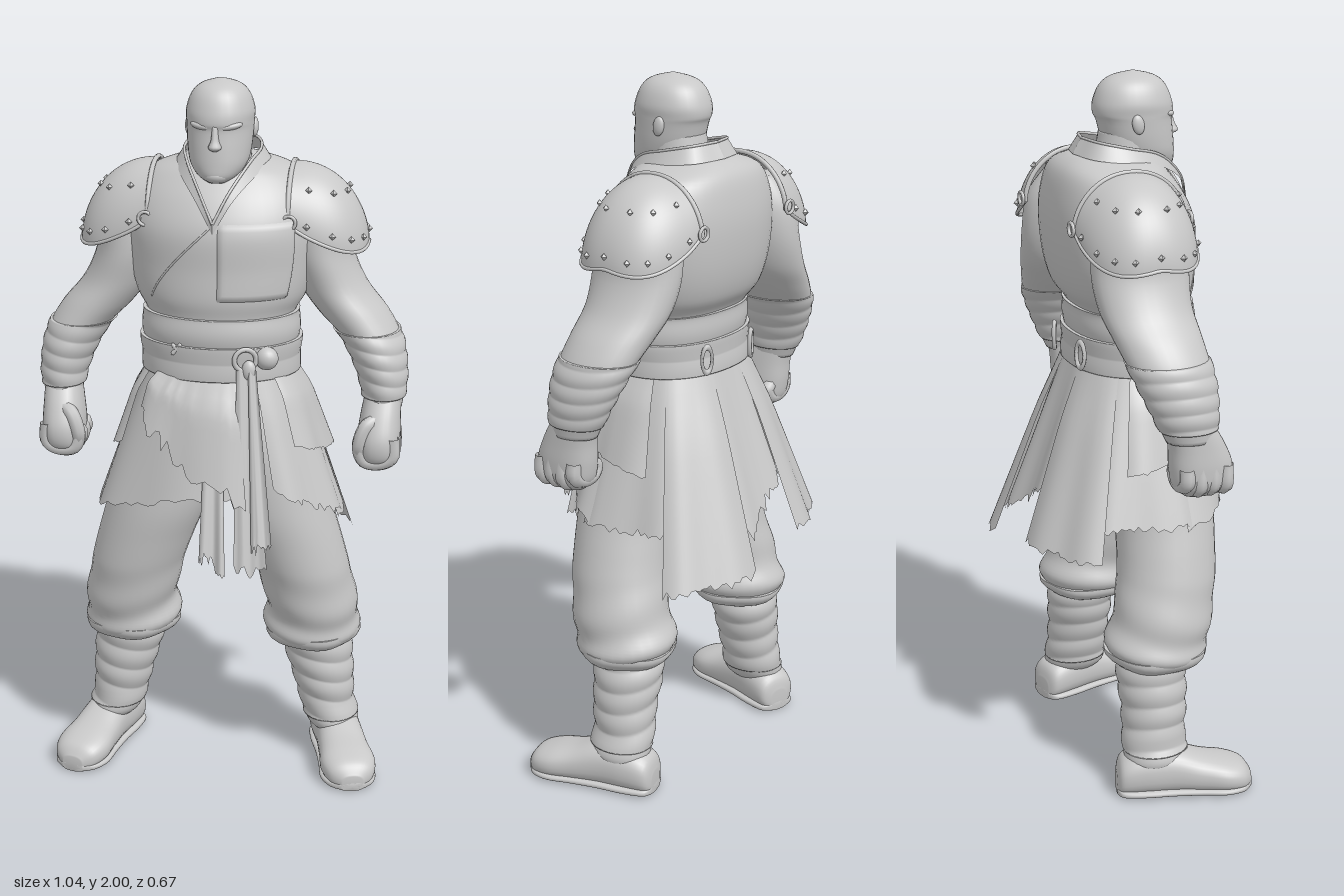
import * as THREE from 'three';

const grey = new THREE.MeshStandardMaterial({ color: 0xc8c8c8, side: THREE.DoubleSide });
grey.name = 'grey';
const { sin, cos, PI, abs, sign, min, max, pow } = Math;
const rad = d => d * PI / 180;
const V = (x, y, z) => new THREE.Vector3(x, y, z);
const spow = (a, e) => sign(a) * pow(abs(a), e);

let seed = 7;
const rnd = () => (seed = (seed * 16807) % 2147483647) / 2147483647;

// spline sample of section rows [x, y, z, rx, rz]
function at(rows, t) {
  const n = rows.length - 1, f = min(max(t, 0), 1) * n, i = min(Math.floor(f), n - 1), k = f - i;
  const r = j => rows[min(max(j, 0), n)];
  return rows[0].map((_, c) => {
    const [a, b, d, e] = [r(i - 1)[c], r(i)[c], r(i + 1)[c], r(i + 2)[c]];
    return b + 0.5 * k * (d - a + k * (2 * a - 5 * b + 4 * d - e + k * (3 * (b - d) + e - a)));
  });
}
function atY(rows, y) {
  let a = 0, b = 1;
  for (let i = 0; i < 24; i++) { const m = (a + b) / 2; if (at(rows, m)[1] < y) a = m; else b = m; }
  return at(rows, a);
}
function finish(pos, idx) {
  const g = new THREE.BufferGeometry();
  g.setAttribute('position', new THREE.Float32BufferAttribute(pos, 3));
  g.setIndex(idx);
  g.computeVertexNormals();
  return g;
}
// closed skin over rings that run upward; e and eBack square off the front and back
function loft(rows, { seg = 32, steps = 40, e = 1, eBack = e, ripple = () => 0 } = {}) {
  const pos = [], idx = [];
  const put = a => pos.push(a[0], a[1], a[2]);
  for (let i = 0; i <= steps; i++) {
    const [x, y, z, rx, rz] = at(rows, i / steps);
    for (let j = 0; j < seg; j++) {
      const a = j / seg * 2 * PI, s = sin(a), c = cos(a), o = ripple(a, i / steps), p = c < 0 ? eBack : e;
      put([x + spow(s, p) * (rx + o), y, z + spow(c, p) * (rz + o)]);
      if (i < steps) {
        const m = i * seg + j, q = i * seg + (j + 1) % seg;
        idx.push(m, q, m + seg, q, q + seg, m + seg);
      }
    }
  }
  const lo = pos.length / 3, top = steps * seg;
  put(rows[0]); put(rows[rows.length - 1]);
  for (let j = 0; j < seg; j++) {
    const k = (j + 1) % seg;
    idx.push(lo, k, j, lo + 1, top + j, top + k);
  }
  return finish(pos, idx);
}
// open sheet from a point rule
function grid(fn, nu, nv) {
  const pos = [], idx = [];
  for (let i = 0; i <= nv; i++) for (let j = 0; j <= nu; j++) {
    pos.push(...fn(j / nu, i / nv));
    if (i < nv && j < nu) {
      const p = i * (nu + 1) + j, q = p + nu + 1;
      idx.push(p, q, p + 1, p + 1, q, q + 1);
    }
  }
  return finish(pos, idx);
}
const curve = pts => new THREE.CatmullRomCurve3(pts.map(p => V(...p)));
const tube = (pts, r, n = 24) => new THREE.TubeGeometry(curve(pts), n, r, 8);
const slice = (rows, y0, y1, off, n = 12) => Array.from({ length: n + 1 }, (_, i) => {
  const r = atY(rows, y0 + (y1 - y0) * i / n);
  return [r[0], r[1], r[2], r[3] + off, r[4] + off];
});
const side = (rows, s) => rows.map(r => [r[0] * s, ...r.slice(1)]);

const TORSO = [[0, 1.04, .04, .19, .15], [0, 1.2, .043, .2, .16], [0, 1.28, .045, .205, .16], [0, 1.36, .043, .205, .162],
  [0, 1.42, .028, .237, .187], [0, 1.5, .016, .257, .197], [0, 1.6, .011, .265, .2], [0, 1.68, -.002, .25, .18],
  [0, 1.745, -.017, .205, .146], [0, 1.778, -.015, .12, .112], [0, 1.79, 0, .08, .08]];
const HEAD = [[0, 1.733, .125, .025, .03], [0, 1.75, .1, .055, .07], [0, 1.78, .083, .077, .088], [0, 1.82, .068, .086, .1],
  [0, 1.87, .058, .09, .105], [0, 1.89, .055, .091, .112], [0, 1.92, .053, .092, .109], [0, 1.96, .053, .078, .092],
  [0, 1.985, .054, .052, .062], [0, 2, .055, .004, .004]];
const NOSE = [[0, 1.82, .163, .006, .008], [0, 1.83, .165, .018, .024], [0, 1.85, .162, .011, .018], [0, 1.885, .158, .008, .01]];
const ARM = [[.455, 1.1, .035, .052, .07], [.452, 1.17, .02, .063, .087], [.435, 1.24, .005, .075, .103], [.408, 1.3, -.01, .086, .112],
  [.36, 1.36, -.022, .098, .12], [.305, 1.43, -.034, .095, .128], [.27, 1.52, -.035, .09, .135], [.26, 1.62, -.033, .09, .125], [.24, 1.7, -.03, .05, .08]];
const HAND = [[.44, .94, .07, .03, .05], [.445, .97, .07, .055, .08], [.447, 1.02, .067, .06, .088], [.45, 1.08, .053, .056, .078], [.455, 1.14, .03, .05, .065]];
const LEG = [[.275, .365, .02, .08, .085], [.267, .385, .022, .115, .122], [.265, .43, .022, .137, .147], [.263, .5, .035, .132, .143],
  [.245, .6, .058, .133, .141], [.215, .7, .07, .138, .14], [.175, .82, .075, .145, .143], [.14, .98, .06, .145, .15], [.1, 1.12, .05, .1, .13]];
const SHIN = [[.338, .075, -.01, .05, .07], [.328, .11, -.003, .076, .094], [.31, .17, -.005, .077, .088], [.298, .25, 0, .086, .09],
  [.28, .35, 0, .097, .096], [.275, .42, .01, .09, .09]];
const BOOT = [[0, -.122, -.035, .03, .03], [0, -.105, -.055, .06, .055], [0, -.04, -.068, .069, .068], [0, .04, -.068, .068, .068],
  [0, .12, -.055, .073, .055], [0, .19, -.047, .08, .047], [0, .24, -.038, .064, .038], [0, .265, -.026, .03, .02]];

export function createModel() {
  const model = new THREE.Group();
  const add = (name, geo, parent = model) => {
    const m = new THREE.Mesh(geo, grey);
    m.name = name;
    parent.add(m);
    return m;
  };
  const blob = (name, p, r) => {
    const m = add(name, new THREE.SphereGeometry(1, 20, 14));
    m.position.set(...p); m.scale.set(...r);
    return m;
  };
  const onTorso = (a, y, off) => {
    const [, , z, rx, rz] = atY(TORSO, y);
    return [sin(a) * (rx + off), y, z + cos(a) * (rz + off)];
  };

  // head and face
  add('neck', loft([[0, 1.6, .01, .09, .08], [0, 1.72, .025, .085, .085], [0, 1.84, .04, .078, .08]]));
  add('head', loft(HEAD, { e: .95 }));
  add('nose', loft(NOSE, { seg: 12, steps: 14 }));
  blob('lips', [0, 1.785, .157], [.03, .01, .013]);
  blob('chin', [0, 1.752, .146], [.034, .02, .026]);
  for (const s of [-1, 1]) {
    blob('brow', [s * .036, 1.884, .142], [.036, .011, .018]).rotation.set(0, s * .35, s * .15);
    blob('ear', [s * .089, 1.868, .035], [.011, .027, .017]).rotation.x = -.2;
  }

  // torso, collar and chest layers
  add('torso', loft(TORSO, { seg: 48, steps: 60, eBack: .82 }));
  for (const s of [-1, 1]) {
    const low = curve(side([[0, 1.605, .212], [.05, 1.69, .185], [.105, 1.75, .105], [.13, 1.772, 0], [.097, 1.782, -.09], [0, 1.785, -.12]], s));
    const high = curve(side([[0, 1.635, .214], [.038, 1.71, .182], [.085, 1.782, .1], [.105, 1.81, 0], [.078, 1.825, -.07], [0, 1.828, -.094]], s));
    add('collar', grid((u, v) => low.getPoint(u).lerp(high.getPoint(u), v).toArray(), 32, 6));
    add('collarEdge', tube(high.getPoints(16).map(p => p.toArray()), .004, 40));
  }
  add('wrapEdge', tube(Array.from({ length: 7 }, (_, i) => onTorso(rad(-48 * i / 6), 1.63 - .21 * i / 6, -.001)), .003));
  add('chestPlate', grid((u, v) => onTorso(rad(2 + 52 * u), 1.635 - .215 * v, -.004 + .012 * min(1, 20 * min(u, v, 1 - u, 1 - v))), 24, 20));

  // belt, sash, ring, knot and loops
  add('sash', loft(slice(TORSO, 1.285, 1.37, .01), { seg: 48, eBack: .9, ripple: (a, t) => .008 * sin(t * PI) }));
  add('belt', loft(slice(TORSO, 1.2, 1.295, .018), { seg: 48, eBack: .9, ripple: (a, t) => .004 * abs(cos(t * PI)) }));
  const ring = add('beltRing', new THREE.TorusGeometry(.03, .007, 8, 28));
  ring.position.set(.09, 1.265, .216); ring.rotation.y = .35;
  blob('knot', [.145, 1.265, .188], [.032, .032, .03]);
  blob('knotEnd', [.1, 1.235, .215], [.02, .03, .016]);
  for (const r of [-.7, .7]) {
    const tie = add('frontToggle', new THREE.CapsuleGeometry(.006, .03, 4, 8));
    tie.position.set(-.1, 1.285, .203); tie.rotation.z = r;
  }
  for (const a of [155, 205]) {
    const loop = add('beltLoop', new THREE.TorusGeometry(.026, .007, 6, 20));
    loop.position.set(sin(rad(a)) * .24, 1.25, -.14); loop.scale.set(.6, 1.4, 1);
    loop.rotation.y = rad(a);
  }

  // torn skirt panels: name, angles, hem heights, layer, raggedness
  const panels = [
    ['backPanel', 121, 168, .65, .67, .012, .025], ['backPanel', -121, -169, .72, .73, .012, .02], ['backMiddlePanel', 165, 194, .74, .88, 0, .06],
    ['sidePanel', 78, 130, .79, .8, 0, .02], ['sidePanel', -130, -78, .81, .8, 0, .02],
    ['frontSidePanel', 30, 84, .9, .79, .006, .025], ['frontSidePanel', -84, 10, .79, .89, .002, .02],
    ['hipFlap', 48, 110, 1.02, .95, .022, .008], ['hipFlap', -110, -60, .95, 1, .022, .008],
    ['frontPanel', -46, 14, 1.12, .87, .03, .05], ['frontTail', -2, 5, .74, .66, .02, .05]];
  for (const [name, a0, a1, h0, h1, layer, rag] of panels) {
    const nu = 24, hem = Array.from({ length: nu + 1 }, () => (rnd() - .5) * rag);
    add(name, grid((u, v) => {
      const a = rad(a0 + (a1 - a0) * u), s = sin(a), c = cos(a);
      const bottom = h0 + (h1 - h0) * u + hem[Math.round(u * nu)];
      const y = 1.22 - (1.22 - bottom) * v, d = 1.22 - y;
      const o = layer * min(1, v * 3) + .008 * v * sin(u * PI * 3), p = c < 0 ? .78 : .85;
      return [spow(s, p) * (.2 + .34 * d + o), y, .042 + spow(c, p) * (.165 + (c < 0 ? .36 : .2) * d + o)];
    }, nu, 10));
  }
  // hanging belt ends
  for (const [x0, x1, w, h] of [[.085, .12, .046, .69], [.11, .15, .028, .76]]) {
    const hem = Array.from({ length: 13 }, () => (rnd() - .5) * .04);
    add('beltTail', grid((u, v) => [x0 + (x1 - x0) * v + (u - .5) * 2 * w * (.4 + .6 * v),
      1.24 - (1.24 - h - hem[Math.round(u * 12)]) * v, .225 + .1 * v + .005 * sin(u * PI * 2)], 12, 12));
  }

  for (const s of [-1, 1]) {
    const arm = new THREE.Group(), leg = new THREE.Group(), shoulder = new THREE.Group();
    arm.name = s > 0 ? 'leftArm' : 'rightArm';
    leg.name = s > 0 ? 'leftLeg' : 'rightLeg';
    shoulder.name = s > 0 ? 'leftShoulderGuard' : 'rightShoulderGuard';
    model.add(arm, leg, shoulder);

    // arm, wrapped bracer and fist
    add('armSkin', loft(side(ARM, s)), arm);
    add('bracer', loft(side(slice(ARM, 1.13, 1.31, .003, 20), s), { steps: 64, ripple: (a, t) => .004 * abs(sin(t * PI * 4 + sin(a))) }), arm);
    add('palm', loft(side(HAND, s), { e: .85, steps: 24 }), arm);
    for (let i = 0; i < 4; i++) {
      const z = .012 + i * .037, lift = i === 0 ? .015 : 0;
      add('finger', tube(side([[.485, 1.03, z], [.485, .975 + lift, z], [.455, .957 + lift, z], [.412, .962 + lift, z], [.4, 1, z], [.42, 1.015, z]], s), .022), arm);
    }
    add('thumb', tube(side([[.45, 1.08, .1], [.415, 1.06, .125], [.397, 1.01, .13], [.4, .975, .115]], s), .021), arm);

    // shoulder guard with rim, strap, buckles and studs
    const pad = (f, v, off = 0) => {
      const a = f * PI, rim = 1.62 - .07 * pow(max(sin(a), 0), .6) - .02 * abs(sin(2 * a)), r = pow(sin(v * PI / 2), .92);
      return [s * (.19 + (.21 + off) * pow(max(sin(a), 0), .8) * r), rim + (1.765 + off - rim) * pow(max(cos(v * PI / 2), 0), 1.12),
        -.03 + (.16 + off) * spow(cos(a), .8) * r];
    };
    add('guard', grid((u, v) => pad(u, v), 32, 20), shoulder);
    const arc = (n, fn) => Array.from({ length: n + 1 }, (_, i) => fn(i / n));
    add('guardRim', tube(arc(20, t => pad(t, 1)), .005, 48), shoulder);
    add('guardStrap', tube([...arc(8, t => pad(0, 1 - t)), ...arc(8, t => pad(1, t)).slice(1)], .007, 48), shoulder);
    for (const f of [0, 1]) {
      const p = pad(f, .95, .01), buckle = add('buckle', new THREE.TorusGeometry(.018, .005, 6, 18), shoulder);
      buckle.position.set(p[0] + s * .005, p[1], p[2]);
    }
    for (const [v, n] of [[.88, 9], [.5, 6]]) for (let i = 0; i < n; i++) {
      const stud = add('stud', new THREE.OctahedronGeometry(.01), shoulder);
      stud.position.set(...pad((i + .5) / n, v, .003));
    }

    // baggy trousers, wrapped shin and boot
    add('trouserLeg', loft(side(LEG, s), { steps: 56, ripple: (a, t) => t < .55 ? .006 * sin(t * 32 + 2 * s * sin(a + s)) * sin(t / .55 * PI) : 0 }), leg);
    add('trouserCuff', loft(side(slice(LEG, .375, .42, .002), s), { ripple: (a, t) => .006 * sin(t * PI) + .004 * sin(a * 5) }), leg);
    add('shin', loft(side(SHIN, s)), leg);
    add('shinWrap', loft(side(slice(SHIN, .13, .39, 0, 20), s), { steps: 72, ripple: (a, t) => .006 * abs(sin(t * PI * 4 + .9 * sin(a))) }), leg);
    const foot = new THREE.Group();
    foot.name = 'foot';
    foot.position.set(s * .34, 0, 0); foot.rotation.y = s * .27;
    leg.add(foot);
    add('boot', loft(BOOT, { e: .85 }).rotateX(PI / 2), foot);
    add('sole', loft(BOOT.map(r => [0, r[1], -.013, r[3] + .001, .013]), { e: .7 }).rotateX(PI / 2), foot);
  }
  return model;
}
